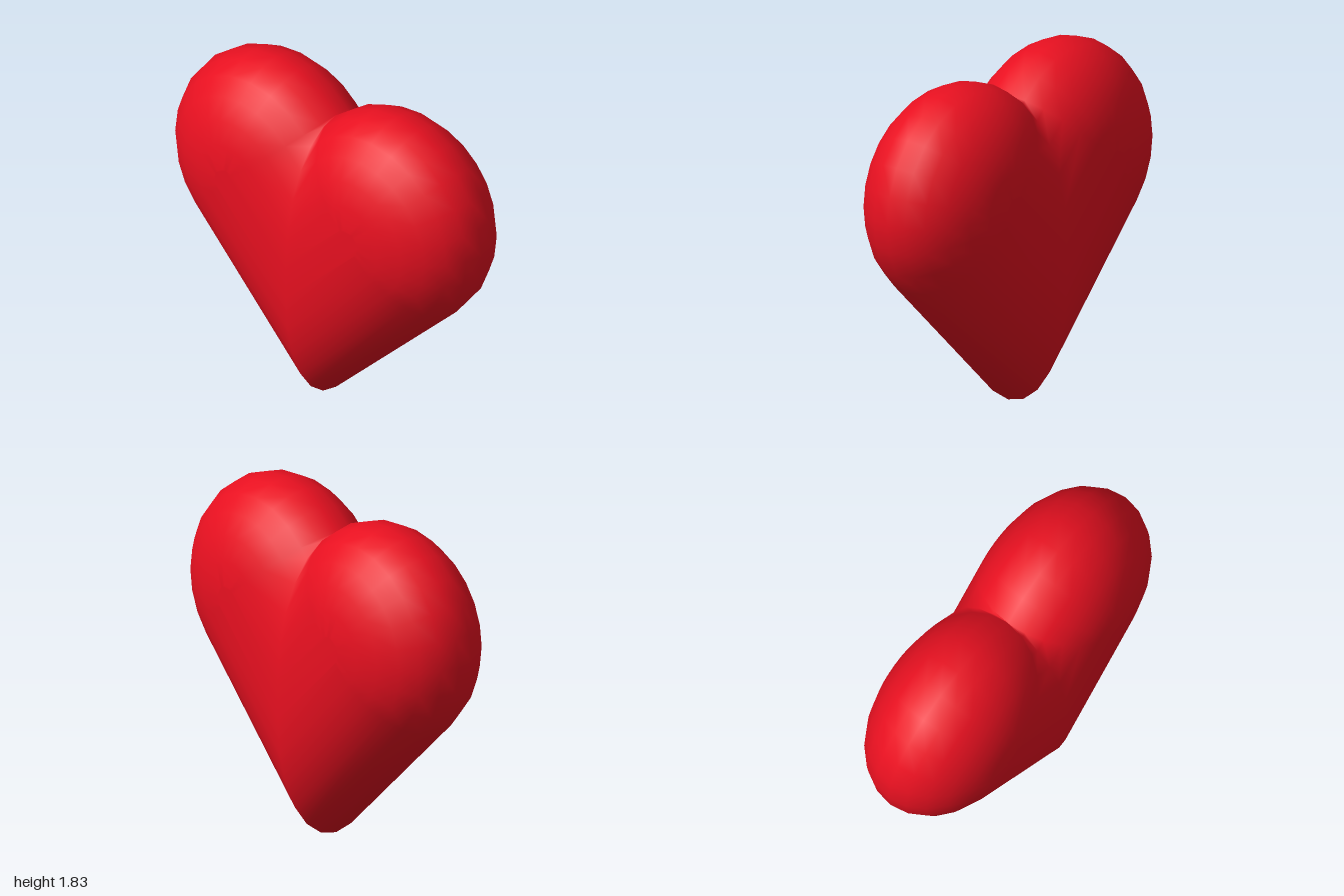
import * as THREE from 'three';

const R = 0.586;              // lobe radius at the widest (middle) outline
const INSET = 0.51;           // how far the rounded edge eats into the outline
const HALF_DEPTH = 0.38;
const CX = R * Math.SQRT1_2;  // lobe centre
const CY = 3 * CX;
const STEPS = 12;             // segments per lobe arc, and across the rounded edge

// Heart outline, counter-clockwise: point, right lobe, cleft, left lobe
function heartOutline(r) {
  const mid = CY - CX;
  const lobe = [];
  for (let i = 0; i <= STEPS; i++) {
    const a = -Math.PI / 4 + (Math.PI * i) / STEPS;
    lobe.push(new THREE.Vector2(CX + r * Math.cos(a), CY + r * Math.sin(a)));
  }
  const mirrored = lobe.map((p) => new THREE.Vector2(-p.x, p.y)).reverse();
  return [
    new THREE.Vector2(0, mid - r * Math.SQRT2),
    ...lobe,
    new THREE.Vector2(0, mid + r * Math.SQRT2),
    ...mirrored,
  ];
}

function heartGeometry() {
  const positions = [];
  const index = [];
  const n = heartOutline(R).length;

  // Outlines stacked back to front, swelling along an elliptical edge
  for (let l = 0; l <= STEPS; l++) {
    const t = -Math.PI / 2 + (Math.PI * l) / STEPS;
    const r = R - INSET * (1 - Math.cos(t));
    for (const p of heartOutline(r)) positions.push(p.x, p.y, HALF_DEPTH * Math.sin(t));
  }
  for (let l = 0; l < STEPS; l++) {
    for (let i = 0; i < n; i++) {
      const j = (i + 1) % n;
      const a = l * n + i, b = l * n + j;
      index.push(a, b, b + n, a, b + n, a + n);
    }
  }

  // Flat front and back caps
  const top = STEPS * n;
  for (const [a, b, c] of THREE.ShapeUtils.triangulateShape(heartOutline(R - INSET), [])) {
    index.push(top + a, top + b, top + c, c, b, a);
  }

  const geometry = new THREE.BufferGeometry();
  geometry.setAttribute('position', new THREE.Float32BufferAttribute(positions, 3));
  geometry.setIndex(index);
  geometry.computeVertexNormals();
  return geometry;
}

export function createModel() {
  const group = new THREE.Group();
  group.name = 'heart';
  const body = new THREE.Mesh(heartGeometry(), new THREE.MeshStandardMaterial({ color: 0xe81020 }));
  body.name = 'heartBody';
  group.add(body);
  return group;
}
